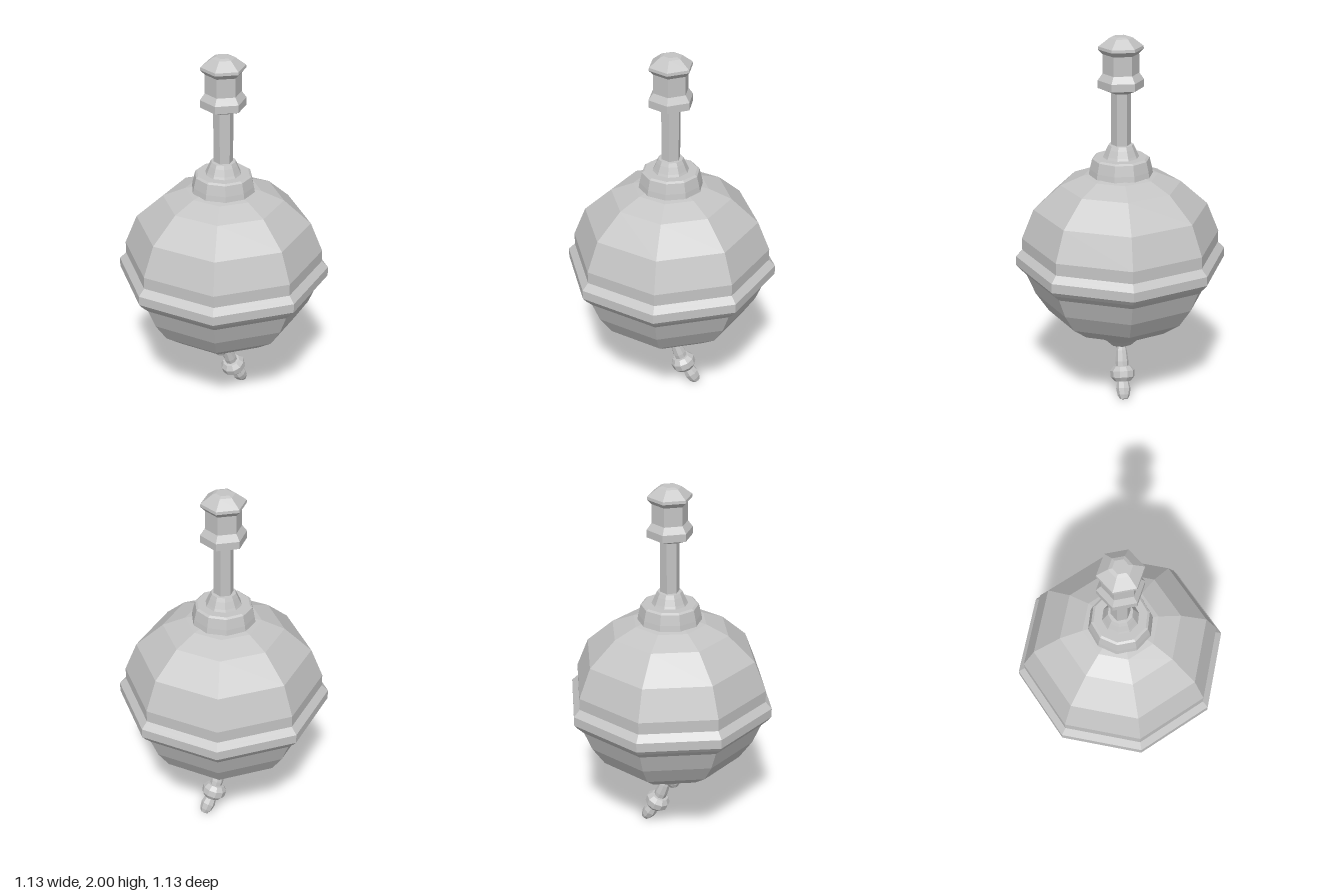
import * as THREE from 'three';

export function createModel() {
  const model = new THREE.Group();
  const grey = new THREE.MeshStandardMaterial({ color: 0xc4c4c4 });
  grey.name = 'plain grey';
  grey.flatShading = true;

  // Faceted turned part; profile is [radius, y] from bottom to top
  const turned = (name, sides, profile, parent = model) => {
    const points = profile.map(([r, y]) => new THREE.Vector2(r, y));
    const mesh = new THREE.Mesh(new THREE.LatheGeometry(points, sides), grey);
    mesh.name = name;
    parent.add(mesh);
    return mesh;
  };

  // Eight-sided bulb with a raised belt
  turned('body', 8, [
    [0, 0.28], [0.07, 0.29], [0.11, 0.33], [0.16, 0.365], [0.295, 0.425], [0.395, 0.5],
    [0.465, 0.605], [0.51, 0.715], [0.545, 0.75], [0.565, 0.775], [0.565, 0.825],
    [0.545, 0.845], [0.53, 0.86], [0.53, 0.925], [0.465, 1.085], [0.32, 1.215],
    [0.2, 1.265], [0, 1.3],
  ]);

  // Collar and the small flare at the foot of the stem
  turned('collar', 10, [
    [0, 1.24], [0.17, 1.27], [0.165, 1.3], [0.152, 1.355], [0.14, 1.363], [0, 1.363],
  ]);
  turned('stemFoot', 10, [
    [0.1, 1.355], [0.09, 1.375], [0.075, 1.41], [0.065, 1.43], [0, 1.435],
  ]);

  // Hexagonal stem and handle knob
  turned('stem', 6, [[0.052, 1.4], [0.052, 1.73]]);
  turned('knob', 6, [
    [0, 1.705], [0.06, 1.71], [0.12, 1.735], [0.12, 1.775], [0.095, 1.81], [0.094, 1.91],
    [0.118, 1.935], [0.116, 1.95], [0.06, 1.993], [0.04, 2], [0, 2],
  ]);

  // Finial under the bulb
  const finial = turned('finial', 8, [
    [0, -0.05], [0.025, -0.045], [0.04, -0.02], [0.045, 0.01], [0.07, 0.05], [0.08, 0.08],
  ]);
  finial.position.set(-0.017, 0.29, 0);
  finial.rotation.z = -0.15;

  // Bent pull hanging to one side: link, bead and tip
  const pull = new THREE.Group();
  pull.name = 'pull';
  model.add(pull);
  const link = turned('pullLink', 8, [
    [0, -0.08], [0.032, -0.08], [0.036, -0.02], [0.03, 0.04], [0.022, 0.075], [0, 0.08],
  ], pull);
  link.position.set(0.042, 0.213, 0);
  link.rotation.z = 0.36;

  const bead = turned('pullBead', 10, [
    [0, -0.045], [0.045, -0.043], [0.066, -0.02], [0.068, 0.015], [0.048, 0.04], [0, 0.045],
  ], pull);
  bead.position.set(0.072, 0.132, 0);
  bead.rotation.z = 0.38;

  const tip = turned('pullTip', 8, [
    [0, -0.06], [0.022, -0.058], [0.034, -0.035], [0.04, 0], [0.03, 0.05], [0, 0.06],
  ], pull);
  tip.position.set(0.117, 0.06, 0);
  tip.rotation.z = 0.55;

  return model;
}
